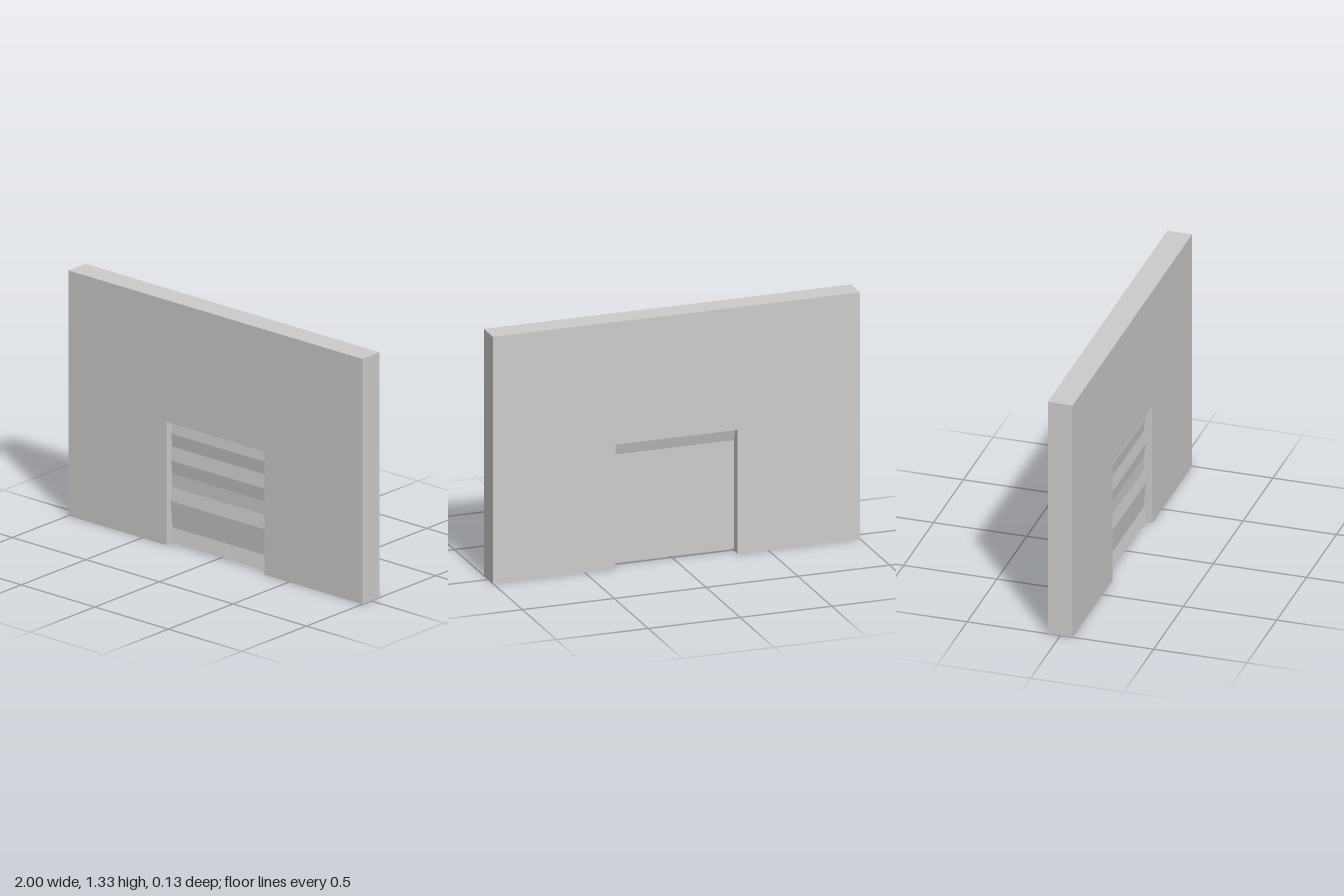
import * as THREE from 'three';

const material = new THREE.MeshStandardMaterial({ color: 0xcccccc });

// Extrude a polygon along z, centred on z = 0
function extrude(points, depth) {
  const shape = new THREE.Shape(points.map(([x, y]) => new THREE.Vector2(x, y)));
  const geometry = new THREE.ExtrudeGeometry(shape, { depth, bevelEnabled: false });
  geometry.translate(0, 0, -depth / 2);
  return geometry;
}

function addPart(group, name, geometry) {
  const mesh = new THREE.Mesh(geometry, material);
  mesh.name = name;
  group.add(mesh);
}

export function createModel() {
  const group = new THREE.Group();
  group.name = 'garageWall';

  const halfWidth = 1, height = 1.333, thickness = 0.133;
  const halfDoor = 0.333, doorTop = 0.67, doorBottom = 0.012;

  // Wall with a doorway cut up from its lower edge
  addPart(group, 'wall', extrude([
    [-halfWidth, 0], [-halfDoor, 0], [-halfDoor, doorTop], [halfDoor, doorTop],
    [halfDoor, 0], [halfWidth, 0], [halfWidth, height], [-halfWidth, height],
  ], thickness));

  // Roller door: side profile (z, y) with uneven ribs in front and a flat back
  // whose top leans backward
  const ribDepths = [0.036, 0.02, 0.027, 0.034, 0.022, 0.022, 0.031, 0.021, 0.03, 0.02];
  const step = (doorTop - doorBottom) / (ribDepths.length - 1);
  const front = ribDepths.map((z, i) => [z, doorBottom + i * step]);
  const back = [[-0.033, doorTop], [-0.011, doorTop - step], [-0.011, doorBottom]];
  const door = extrude([...front, ...back], halfDoor * 2);
  door.rotateY(-Math.PI / 2);
  addPart(group, 'rollerDoor', door);

  return group;
}
